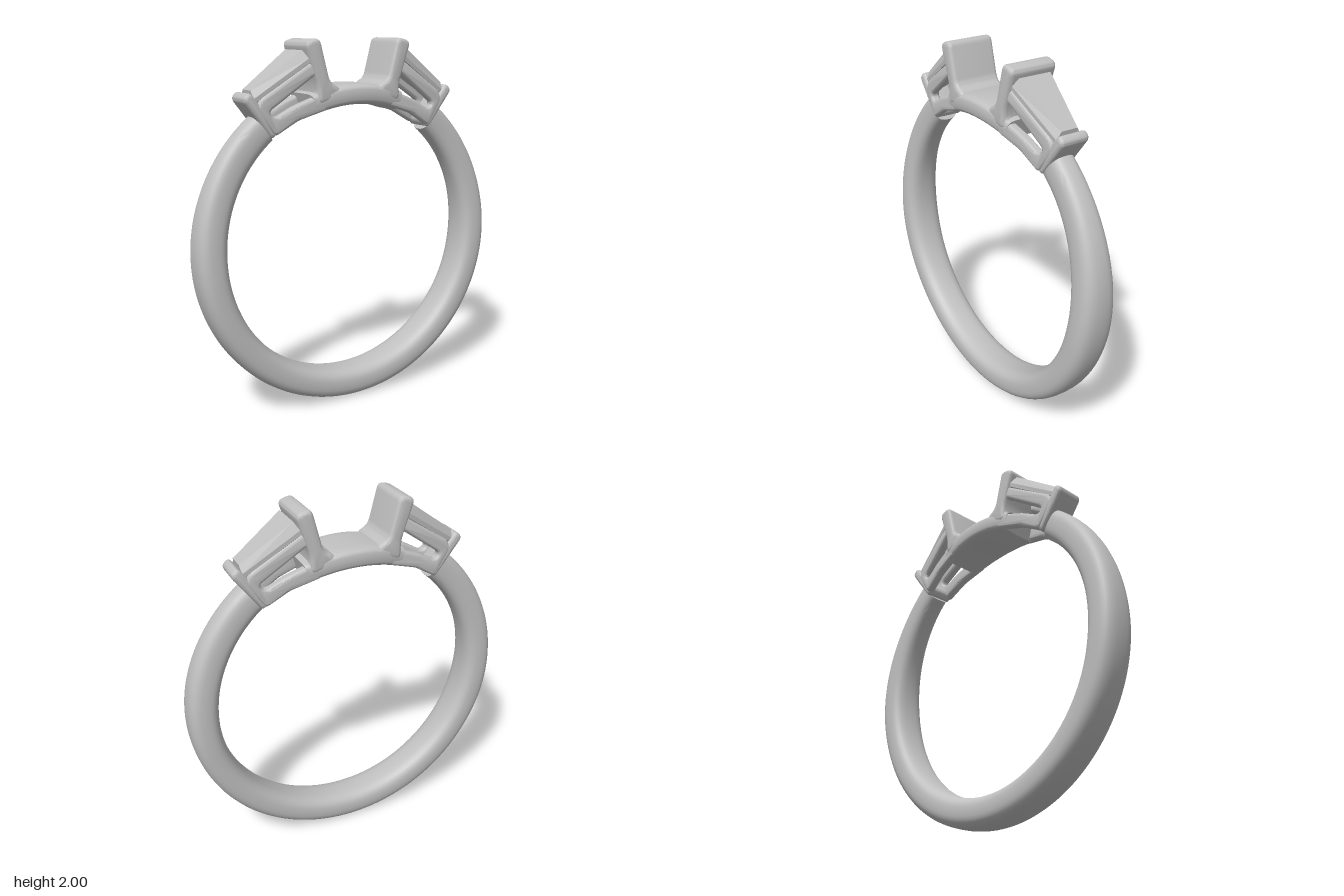
import * as THREE from 'three';
import { toCreasedNormals } from 'three/addons/utils/BufferGeometryUtils.js';

const CENTER_Y = 0.912;
const lerp = THREE.MathUtils.lerp;
const smooth = THREE.MathUtils.smoothstep;

// Closed path through points with rounded corners
function roundedPath(points, radius, PathClass = THREE.Shape) {
  const path = new PathClass();
  const pts = points.map(([x, y]) => new THREE.Vector2(x, y));
  pts.forEach((p, i) => {
    const prev = pts[(i + pts.length - 1) % pts.length];
    const next = pts[(i + 1) % pts.length];
    const near = (q) => p.clone().lerp(q, Math.min(0.45, radius / p.distanceTo(q)));
    const a = near(prev), b = near(next);
    if (i === 0) path.moveTo(a.x, a.y);
    else path.lineTo(a.x, a.y);
    path.quadraticCurveTo(p.x, p.y, b.x, b.y);
  });
  path.closePath();
  return path;
}

// Soft-edged plate of the given full depth, centred on z = 0
function softPlate(shape, depth, bevel) {
  const geo = new THREE.ExtrudeGeometry(shape, {
    depth: depth - 2 * bevel, bevelEnabled: true, bevelThickness: bevel,
    bevelSize: bevel, bevelOffset: -bevel, bevelSegments: 5, curveSegments: 6,
  });
  geo.translate(0, 0, bevel - depth / 2);
  return toCreasedNormals(geo, 0.9);
}

// Sweep a rounded section along an arc; section(t) gives radius, half sizes and z
function sweepArc(from, to, steps, sides, section) {
  const pos = [], index = [];
  for (let i = -1; i <= steps + 1; i++) {
    const t = THREE.MathUtils.clamp(i / steps, 0, 1);
    const k = i < 0 || i > steps ? 0 : 1; // collapsed rings close the ends
    const a = lerp(from, to, t);
    const { r, h, w, z, power } = section(a);
    for (let j = 0; j < sides; j++) {
      const s = (j / sides) * Math.PI * 2;
      const round = (v) => Math.sign(v) * Math.abs(v) ** (2 / power);
      const rad = r + k * h * round(Math.cos(s));
      pos.push(rad * Math.cos(a), CENTER_Y + rad * Math.sin(a), z + k * w * round(Math.sin(s)));
    }
  }
  for (let i = 0; i < steps + 2; i++) {
    for (let j = 0; j < sides; j++) {
      const n = (j + 1) % sides;
      const a = i * sides + j, b = a + sides, c = i * sides + n, d = c + sides;
      index.push(a, b, c, b, d, c);
    }
  }
  const geo = new THREE.BufferGeometry();
  geo.setAttribute('position', new THREE.Float32BufferAttribute(pos, 3));
  geo.setIndex(index);
  return toCreasedNormals(geo, 0.9);
}

// Tapered step-cut stone: each level is [inner x, y, half width, outer x, y, half width]
function stoneGeometry(levels) {
  const rings = levels.map(([x0, y0, w0, x1, y1, w1]) => [
    [x0, y0, w0], [x1, y1, w1], [x1, y1, -w1], [x0, y0, -w0],
  ]);
  const pos = [];
  const quad = (a, b, c, d) => pos.push(...a, ...b, ...c, ...a, ...c, ...d);
  for (let k = 0; k < rings.length - 1; k++) {
    for (let j = 0; j < 4; j++) {
      const n = (j + 1) % 4;
      quad(rings[k][j], rings[k][n], rings[k + 1][n], rings[k + 1][j]);
    }
  }
  quad(...rings[rings.length - 1]);
  quad(...rings[0].slice().reverse());
  const geo = new THREE.BufferGeometry();
  geo.setAttribute('position', new THREE.Float32BufferAttribute(pos, 3));
  geo.computeVertexNormals();
  return geo;
}

export function createModel() {
  const metal = new THREE.MeshStandardMaterial({ color: 0xc0c0c0 });
  metal.name = 'pale grey metal';
  const model = new THREE.Group();
  model.name = 'ring';
  const add = (parent, geo, name) => {
    const mesh = new THREE.Mesh(geo, metal);
    mesh.name = name;
    parent.add(mesh);
    return mesh;
  };

  // Band: wide at the bottom, narrowing towards the settings
  const start = THREE.MathUtils.degToRad(51);
  add(model, sweepArc(Math.PI - start, 2 * Math.PI + start, 128, 32, (a) => {
    const height = Math.sin(a);
    const narrow = smooth(height, -0.25, 0.85);
    return { r: 0.829, h: 0.083, w: lerp(0.107, 0.07, narrow), z: lerp(0.024, 0.006, smooth(height, -0.6, 0.8)), power: 2.8 };
  }), 'band');

  // Bridge joining the two settings
  const end = THREE.MathUtils.degToRad(71);
  add(model, sweepArc(end, Math.PI - end, 32, 32, (a) => ({
    r: 0.803, h: 0.055, w: 0.148 - 0.2 * Math.cos(a) ** 2, z: 0, power: 4.5,
  })), 'bridge');

  // One setting, mirrored for the other side
  const innerPost = softPlate(roundedPath([
    [0.11, 1.7], [0.12, 1.757], [0.178, 1.785], [0.236, 2.008],
    [0.322, 1.985], [0.25, 1.77], [0.25, 1.67],
  ], 0.035), 0.275, 0.022);
  const outerPost = softPlate(roundedPath([
    [0.485, 1.5], [0.565, 1.605], [0.645, 1.71], [0.605, 1.75], [0.55, 1.68], [0.45, 1.55],
  ], 0.03), 0.172, 0.02);

  // Side frame with a wedge-shaped opening, drawn in towards the narrow end
  const frameShape = roundedPath([
    [0.19, 1.645], [0.35, 1.595], [0.475, 1.52], [0.575, 1.66], [0.55, 1.71], [0.265, 1.895], [0.2, 1.86],
  ], 0.02);
  frameShape.holes.push(roundedPath([
    [0.25, 1.825], [0.505, 1.645], [0.475, 1.612], [0.37, 1.67], [0.25, 1.715],
  ], 0.03, THREE.Path));
  const frame = softPlate(frameShape, 0.055, 0.018);
  const p = frame.attributes.position;
  for (let i = 0; i < p.count; i++) {
    const t = (p.getX(i) - 0.2) / 0.4;
    p.setZ(i, p.getZ(i) + lerp(0.134, 0.082, t) - 0.0275);
  }

  const stone = stoneGeometry([
    [0.27, 1.84, 0.03, 0.54, 1.66, 0.015],
    [0.285, 1.885, 0.118, 0.568, 1.695, 0.072],
    [0.295, 1.905, 0.118, 0.582, 1.712, 0.072],
    [0.32, 1.945, 0.092, 0.588, 1.752, 0.048],
  ]);

  for (const side of [1, -1]) {
    const setting = new THREE.Group();
    setting.name = side > 0 ? 'leftSetting' : 'rightSetting';
    setting.scale.x = side;
    add(setting, innerPost, 'innerPost');
    add(setting, outerPost, 'outerPost');
    add(setting, frame, 'frontFrame');
    add(setting, frame, 'backFrame').scale.z = -1;
    add(setting, stone, 'stone');
    model.add(setting);
  }
  return model;
}
